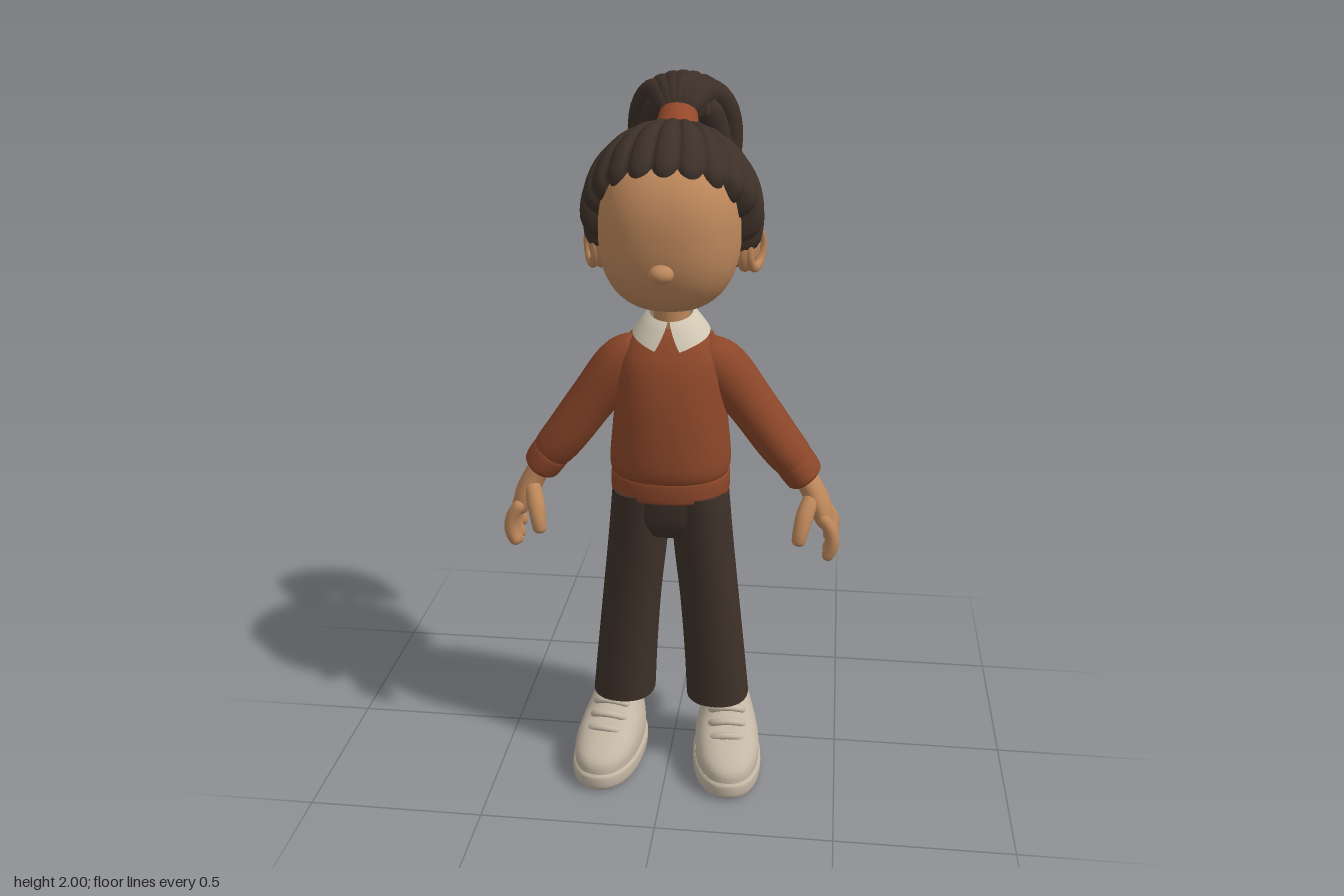
import * as THREE from 'three';

const paint = (name, color, side = THREE.FrontSide) => {
  const m = new THREE.MeshStandardMaterial({ color, side });
  m.name = name;
  return m;
};
const V = (x, y, z) => new THREE.Vector3(x, y, z);

// Surface through rows of points; closed rows wrap, and the winding is turned outward.
function grid(rows, closed = true) {
  const n = rows[0].length, pos = [], idx = [];
  rows.forEach(r => r.forEach(p => pos.push(p.x, p.y, p.z)));
  for (let i = 0; i < rows.length - 1; i++)
    for (let j = 0; j < (closed ? n : n - 1); j++) {
      const k = (j + 1) % n, a = i * n + j, b = i * n + k, c = a + n, d = b + n;
      idx.push(a, b, d, a, d, c);
    }
  const all = rows.flat(), mid = V(0, 0, 0);
  all.forEach(p => mid.addScaledVector(p, 1 / all.length));
  let volume = 0;
  for (let i = 0; i < idx.length; i += 3) {
    const [a, b, c] = [0, 1, 2].map(k => all[idx[i + k]].clone().sub(mid));
    volume += a.dot(b.cross(c));
  }
  if (volume < 0) idx.reverse();
  const g = new THREE.BufferGeometry();
  g.setAttribute('position', new THREE.Float32BufferAttribute(pos, 3));
  g.setIndex(idx);
  g.computeVertexNormals();
  return g;
}

// Closed body along stations [x, y, z, halfWidth, halfDepth].
function sweep(st, { level = false, round = 0.12, power = 2, steps = 24, sides = 24 } = {}) {
  const path = new THREE.CatmullRomCurve3(st.map(p => V(p[0], p[1], p[2])), false, 'catmullrom');
  const size = new THREE.CatmullRomCurve3(st.map(p => V(p[3], p[4] ?? p[3], 0)), false, 'catmullrom');
  const rows = [];
  for (let i = 0; i <= steps; i++) {
    const t = (1 - Math.cos(Math.PI * i / steps)) / 2;
    const c = path.getPoint(t), r = size.getPoint(t);
    const T = level ? V(0, 1, 0) : path.getTangent(t);
    const B = V(0, 0, 1).addScaledVector(T, -T.z).normalize();
    const N = B.clone().cross(T);
    const e = Math.min(t, 1 - t);
    const k = round && e < round ? Math.sqrt(Math.max(0, 1 - (1 - e / round) ** 2)) : 1;
    const row = [];
    for (let j = 0; j < sides; j++) {
      const a = j / sides * Math.PI * 2, co = Math.cos(a), si = Math.sin(a);
      const f = k * (Math.abs(co) ** power + Math.abs(si) ** power) ** (-1 / power);
      row.push(c.clone().addScaledVector(N, co * f * r.x).addScaledVector(B, si * f * r.y));
    }
    rows.push(row);
  }
  if (!round) {
    const flat = row => {
      const m = V(0, 0, 0);
      row.forEach(p => m.addScaledVector(p, 1 / sides));
      return row.map(() => m.clone());
    };
    const a = rows[0], b = rows[steps];
    rows.unshift(flat(a), a.map(p => p.clone()));
    rows.push(b.map(p => p.clone()), flat(b));
  }
  return grid(rows);
}

// Combed-back hair: lobes fan from the tie down to a scalloped hairline.
function hairCap() {
  const C = V(0, 1.65, 0.06), R = V(0.245, 0.24, 0.235), lobes = 22;
  const pole = V(0, 0.86, -0.51).normalize(), front = V(0, 0.51, 0.86).normalize();
  const line = [[0, 93], [40, 94], [72, 99], [93, 117], [120, 127], [145, 126], [180, 116]];
  const edge = deg => {
    let i = 0;
    while (i < line.length - 2 && deg > line[i + 1][0]) i++;
    const [a, p] = line[i], [b, q] = line[i + 1];
    return THREE.MathUtils.lerp(p, q, THREE.MathUtils.smoothstep(deg, a, b)) * Math.PI / 180;
  };
  const rows = [], n = lobes * 8, steps = 32;
  for (let i = 0; i <= steps; i++) {
    const s = i / steps, row = [];
    for (let j = 0; j < n; j++) {
      const phi = j / n * Math.PI * 2, u = ((j + 4) % 8) / 4 - 1;
      const deg = phi * 180 / Math.PI, ahead = Math.max(0, Math.cos(phi));
      const th = s * (edge(Math.min(deg, 360 - deg)) - 0.09 * u * u);
      const groove = 0.065 * Math.min(1, s * 2.5) * (1 - Math.sqrt(1 - u * u * 0.98));
      const tuck = s > 0.86 ? 0.17 * ((s - 0.86) / 0.14) ** 2 : 0;
      const r = 1.01 + 0.06 * ahead * Math.sin(Math.PI * Math.min(1, s)) - groove - tuck;
      const d = pole.clone().multiplyScalar(Math.cos(th))
        .addScaledVector(front, Math.sin(th) * Math.cos(phi));
      d.x += Math.sin(th) * Math.sin(phi);
      row.push(d.multiplyScalar(r).multiply(R).add(C));
    }
    rows.push(row);
  }
  rows.push(rows[steps].map(p => p.clone()), rows[steps].map(() => V(0, 1.62, 0.07)));
  return grid(rows);
}

export function createModel() {
  const model = new THREE.Group();
  model.name = 'girl';
  const skin = paint('skin', 0xbd875b), hair = paint('hair', 0x3d3028);
  const knit = paint('sweater', 0x8b4629), cloth = paint('trousers', 0x3e3129);
  const shoe = paint('shoe', 0xc4b7a5), white = paint('collar', 0xd2c7b3, THREE.DoubleSide);
  const tie = paint('hair tie', 0x96492a);
  const add = (name, geo, mat, parent = model) => {
    const m = new THREE.Mesh(geo, mat);
    m.name = name;
    parent.add(m);
    return m;
  };
  const ball = (name, mat, p, r) => {
    const m = add(name, new THREE.SphereGeometry(1, 28, 20), mat);
    m.position.set(...p);
    m.scale.set(...r);
    return m;
  };

  // Head: a sphere pushed towards a rounded block
  const head = new THREE.SphereGeometry(1, 48, 36), hp = head.attributes.position;
  for (let i = 0; i < hp.count; i++) {
    const v = V(0, 0, 0).fromBufferAttribute(hp, i), e = 2.4;
    v.multiplyScalar((Math.abs(v.x) ** e + Math.abs(v.y) ** e + Math.abs(v.z) ** e) ** (-1 / e));
    hp.setXYZ(i, v.x * 0.19, 1.62 + v.y * 0.215, 0.1 + v.z * 0.205);
  }
  head.computeVertexNormals();
  add('head', head, skin);
  ball('nose', skin, [0, 1.547, 0.305], [0.033, 0.025, 0.032]);
  add('neck', sweep([[0, 1.28, 0.07, 0.052], [0, 1.46, 0.07, 0.05]], { round: 0 }), skin);

  // Hair, tie and ponytail
  add('hairCap', hairCap(), hair);
  const band = add('hairTie', new THREE.CylinderGeometry(0.052, 0.062, 0.06, 28), tie);
  band.position.set(0, 1.875, -0.068);
  band.rotation.x = -0.72;
  for (let i = -3; i <= 3; i++) {
    const a = i / 3, q = a * a;
    add('ponytailOuterLock', sweep([
      [0.02 * a, 1.89, -0.08, 0.025], [0.07 * a, 1.965 - 0.02 * q, -0.17, 0.036],
      [0.115 * a, 1.92 - 0.03 * q, -0.28 + 0.05 * q, 0.04],
      [0.125 * a, 1.78, -0.315 + 0.06 * q, 0.038],
      [0.105 * a, 1.63 + 0.04 * (Math.abs(i) % 2), -0.275 + 0.05 * q, 0.016]], { sides: 14 }), hair);
  }
  for (let i = 0; i < 5; i++) {
    const a = (i - 2) / 2;
    add('ponytailInnerLock', sweep([
      [0.02 * a, 1.88, -0.09, 0.025], [0.06 * a, 1.91, -0.16, 0.04], [0.095 * a, 1.8, -0.215, 0.042],
      [0.085 * a, 1.66, -0.235, 0.038], [0.06 * a, 1.535 + 0.04 * (i % 2), -0.232, 0.014]], { sides: 14 }), hair);
  }

  // Sweater body, hem and neckline
  add('sweaterBody', sweep([
    [0, 0.92, 0.1, 0.155, 0.13], [0, 0.965, 0.1, 0.17, 0.149], [0, 1.06, 0.1, 0.163, 0.146],
    [0, 1.16, 0.1, 0.152, 0.133], [0, 1.25, 0.095, 0.143, 0.113], [0, 1.3, 0.085, 0.122, 0.093],
    [0, 1.335, 0.08, 0.086, 0.068], [0, 1.35, 0.075, 0.05, 0.045]],
  { level: true, round: 0, power: 2.3, steps: 36, sides: 40 }), knit);
  add('sweaterHem', sweep([
    [0, 0.875, 0.1, 0.16, 0.134], [0, 0.885, 0.1, 0.168, 0.141], [0, 0.93, 0.1, 0.168, 0.141],
    [0, 0.943, 0.1, 0.16, 0.134]], { level: true, round: 0, power: 2.3, sides: 40 }), knit);
  const rib = add('neckline', new THREE.TorusGeometry(0.1, 0.013, 12, 40), knit);
  rib.position.set(0, 1.302, 0.085);
  rib.rotation.x = Math.PI / 2 + 0.3;
  rib.scale.x = 1.12;

  // Shirt collar, open at the front and ending in two points
  const collar = [];
  for (let i = 0; i <= 6; i++) {
    const t = i / 6, row = [], gap = 0.04 + 0.28 * t, f = t ** 0.8;
    for (let j = 0; j <= 40; j++) {
      const a = gap + (Math.PI * 2 - 2 * gap) * j / 40, c = Math.cos(a);
      const top = 1.392 - 0.016 * c, low = 1.335 - 0.022 * c - 0.015 * Math.max(0, c) ** 6;
      row.push(V(Math.sin(a) * (0.06 + 0.047 * f), THREE.MathUtils.lerp(top, low, t), 0.08 + c * (0.064 + 0.046 * f)));
    }
    collar.push(row);
  }
  add('collar', grid(collar, false), white);

  // Trouser seat
  add('trouserSeat', sweep([
    [0, 0.76, 0.1, 0.1, 0.1], [0, 0.81, 0.1, 0.155, 0.122], [0, 0.9, 0.1, 0.162, 0.132]],
  { level: true, round: 0, power: 2.3, sides: 36 }), cloth);

  for (const s of [1, -1]) {
    const side = s > 0 ? 'left' : 'right';
    const limb = (name, pts, mat, opt) =>
      add(side + name, sweep(pts.map(([x, ...rest]) => [x * s, ...rest]), opt), mat);

    // Ear with a raised rim
    const ear = ball(side + 'Ear', skin, [s * 0.205, 1.555, 0.045], [0.025, 0.06, 0.046]);
    ear.rotation.set(0, -s * 0.45, -s * 0.15);
    const rim = add(side + 'EarRim', new THREE.TorusGeometry(0.042, 0.013, 12, 28), skin);
    rim.position.set(s * 0.224, 1.56, 0.04);
    rim.rotation.set(0, s * (Math.PI / 2 - 0.45), 0);
    rim.scale.set(0.88, 1.2, 1);

    // Sleeve and cuff
    limb('Sleeve', [[0.07, 1.29, 0.08, 0.045, 0.06], [0.135, 1.235, 0.075, 0.075, 0.08],
      [0.22, 1.13, 0.07, 0.068, 0.083], [0.3, 1.02, 0.07, 0.064, 0.083], [0.345, 0.965, 0.07, 0.058, 0.075],
      [0.365, 0.94, 0.07, 0.045, 0.06]], knit, { round: 0.06, steps: 32 });
    limb('Cuff', [[0.342, 0.967, 0.07, 0.05, 0.068], [0.35, 0.957, 0.07, 0.057, 0.076],
      [0.376, 0.921, 0.07, 0.055, 0.074], [0.383, 0.911, 0.07, 0.047, 0.066]], knit, { round: 0 });

    // Hand, fingers and thumb
    limb('Palm', [[0.36, 0.94, 0.075, 0.032, 0.046], [0.395, 0.89, 0.075, 0.033, 0.052],
      [0.425, 0.83, 0.077, 0.033, 0.06], [0.45, 0.765, 0.08, 0.022, 0.055]], skin);
    for (let i = 0; i < 4; i++) {
      const z = 0.03 + i * 0.034, drop = [0.03, 0.005, 0, 0.012][i];
      limb('Finger', [[0.43, 0.82, z, 0.018], [0.459, 0.765 + drop / 2, z, 0.019],
        [0.464, 0.715 + drop, z, 0.019], [0.447, 0.671 + drop, z, 0.016]], skin, { sides: 14 });
    }
    limb('Thumb', [[0.405, 0.875, 0.1, 0.022], [0.385, 0.825, 0.145, 0.025],
      [0.374, 0.78, 0.168, 0.022], [0.368, 0.742, 0.174, 0.018]], skin, { sides: 16 });

    // Trouser leg and ankle
    limb('TrouserLeg', [[0.141, 0.212, 0.095, 0.092, 0.1], [0.13, 0.36, 0.097, 0.088, 0.099],
      [0.114, 0.54, 0.1, 0.085, 0.1], [0.095, 0.72, 0.1, 0.085, 0.113], [0.083, 0.89, 0.1, 0.081, 0.13]],
    cloth, { level: true, round: 0, power: 2.3, steps: 28 });
    limb('Ankle', [[0.145, 0.13, 0.07, 0.048], [0.142, 0.25, 0.075, 0.048]], skin, { round: 0 });

    // Shoe, toes turned slightly out
    const foot = new THREE.Group();
    foot.name = side + 'Shoe';
    foot.position.x = s * 0.16;
    foot.rotation.y = s * 0.1;
    model.add(foot);
    const opt = { level: true, round: 0, power: 2.3, sides: 40 };
    add('sole', sweep([[0, 0, 0.163, 0.09, 0.18], [0, 0.015, 0.163, 0.1, 0.194],
      [0, 0.045, 0.163, 0.101, 0.196], [0, 0.056, 0.163, 0.095, 0.19]], opt), shoe, foot);
    add('upper', sweep([[0, 0.045, 0.163, 0.094, 0.189], [0, 0.09, 0.158, 0.095, 0.184],
      [0, 0.125, 0.13, 0.088, 0.153], [0, 0.16, 0.088, 0.076, 0.108], [0, 0.195, 0.063, 0.064, 0.08],
      [0, 0.207, 0.06, 0.052, 0.066]], opt), shoe, foot);
    for (let i = 0; i < 3; i++) {
      const y = 0.138 + i * 0.025, z = 0.238 - i * 0.037, w = 0.068 - i * 0.004;
      add('strap', sweep([[-w, y - 0.035, z - 0.045, 0.009, 0.012], [-w * 0.6, y - 0.003, z - 0.01, 0.01, 0.013],
        [0, y + 0.007, z, 0.01, 0.013], [w * 0.6, y - 0.003, z - 0.01, 0.01, 0.013],
        [w, y - 0.035, z - 0.045, 0.009, 0.012]], { sides: 12 }), shoe, foot);
    }
    const tongue = add('tongue', new THREE.SphereGeometry(1, 20, 14), shoe, foot);
    tongue.position.set(0, 0.183, 0.135);
    tongue.scale.set(0.042, 0.034, 0.02);
    tongue.rotation.x = -0.5;
  }
  return model;
}
